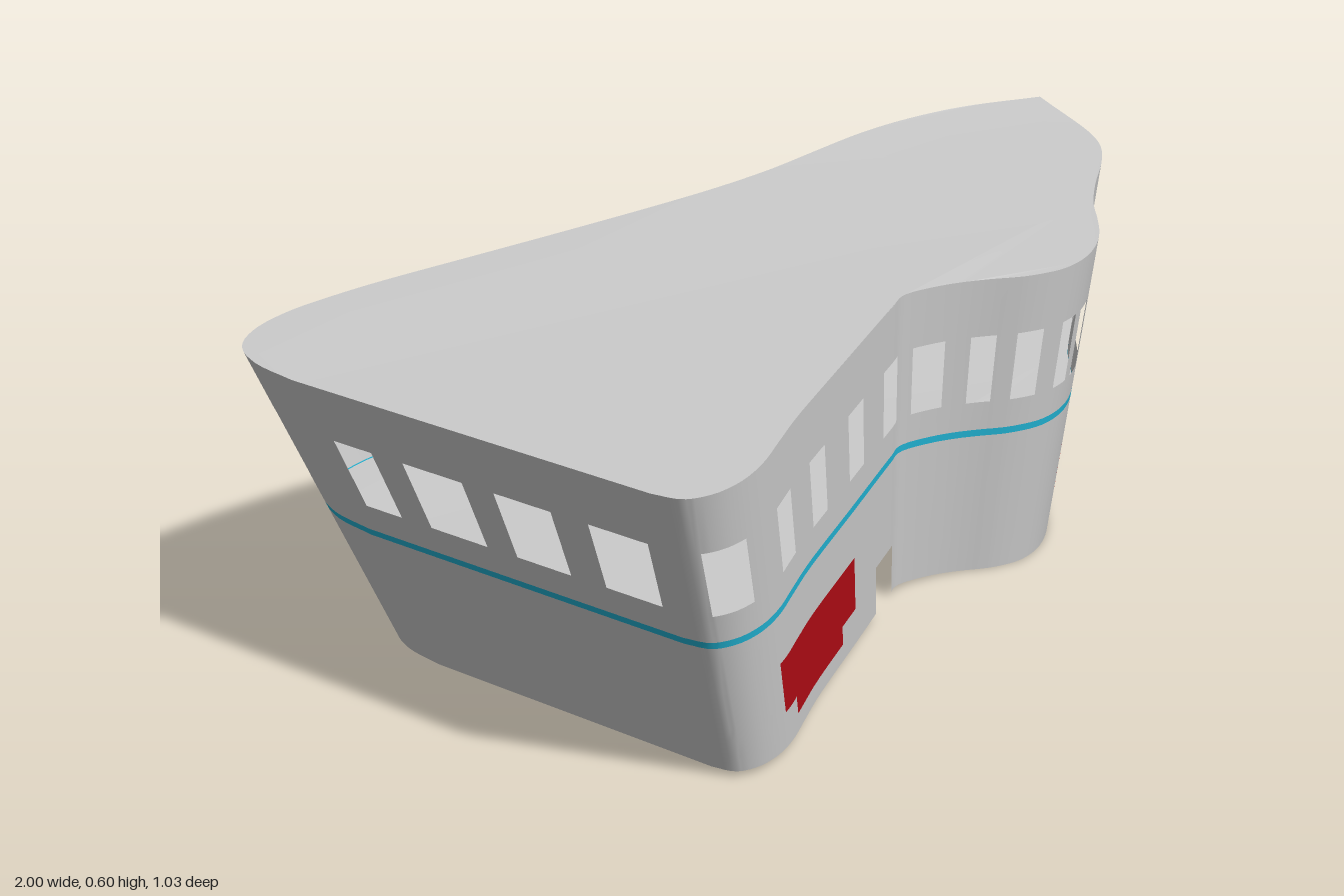
import * as THREE from 'three';
import { toCreasedNormals } from 'three/addons/utils/BufferGeometryUtils.js';

// Roof outline as [x, z], in three runs: front (to the sharp prow), back, and the straight end
const FRONT = [[-1, 0.43], [-0.988, 0.48], [-0.95, 0.505], [-0.89, 0.512], [-0.82, 0.5], [-0.74, 0.472],
  [-0.65, 0.44], [-0.4, 0.365], [-0.17, 0.295], [-0.12, 0.281], [-0.06, 0.295], [0, 0.32], [0.05, 0.35],
  [0.11, 0.395], [0.17, 0.423], [0.23, 0.427], [0.29, 0.415], [0.36, 0.385], [0.43, 0.34], [0.5, 0.29],
  [0.6, 0.235], [0.72, 0.178], [0.8, 0.128], [0.85, 0.08], [0.9, 0.015], [1, -0.135]];
const BACK = [[1, -0.135], [0.85, -0.205], [0.75, -0.243], [0.65, -0.27], [0.55, -0.285], [0.4, -0.292],
  [0.28, -0.297], [0.14, -0.315], [0, -0.343], [-0.2, -0.39], [-0.4, -0.44], [-0.6, -0.49], [-0.7, -0.508],
  [-0.79, -0.517], [-0.88, -0.505], [-0.945, -0.468], [-0.983, -0.4], [-1, -0.3]];
const END = [[-1, -0.3], [-1, 0.43]];
const Y0 = 0.012, Y1 = 0.597;

const runs = [FRONT, BACK, END].map((pts) => {
  const v = pts.map(([x, z]) => new THREE.Vector3(x, 0, z));
  return v.length === 2 ? new THREE.LineCurve3(v[0], v[1]) : new THREE.CatmullRomCurve3(v, false, 'centripetal');
});

// Perimeter parameter u in 0..3: the whole part picks the run
function outline(u) {
  const i = Math.min(2, Math.floor(u));
  return runs[i].getPoint(u - i);
}

// Find u on a run where the given axis reaches a value
function find(run, value) {
  const axis = run === 2 ? 'z' : 'x';
  const sign = run === 1 ? -1 : 1;
  let lo = 0, hi = 1;
  for (let i = 0; i < 30; i++) {
    const mid = (lo + hi) / 2;
    if (sign * (runs[run].getPoint(mid)[axis] - value) < 0) lo = mid; else hi = mid;
  }
  return run + (lo + hi) / 2;
}
const spans = (run, list) => list.map(([a, b]) => [find(run, a), find(run, b)]);

// Point on the flared wall; the prow side sits very slightly lower
function wallPoint(u, y) {
  const p = outline(u);
  const t = (y - Y0) / (Y1 - Y0);
  const drop = 0.011 * THREE.MathUtils.smoothstep(p.x + 2 * p.z, 0.3, 0.9);
  return [p.x * (0.8 + 0.2 * t) + 0.02 * (1 - t), y - drop, p.z * (0.807 + 0.193 * t) + 0.017 * (1 - t)];
}

// Flat deck filling the outline at one height
function deck(us, y) {
  const pts = us.slice(0, -1).map((u) => wallPoint(u, y));
  const faces = THREE.ShapeUtils.triangulateShape(pts.map((p) => new THREE.Vector2(p[0], -p[2])), []);
  const geo = new THREE.BufferGeometry();
  geo.setAttribute('position', new THREE.Float32BufferAttribute(pts.flat(), 3));
  geo.setIndex(faces.flat());
  geo.computeVertexNormals();
  return geo;
}

export function createModel() {
  const group = new THREE.Group();
  const material = (color) => new THREE.MeshStandardMaterial({ color, side: THREE.DoubleSide });
  const grey = material(0xcccccc);

  // Openings and panels as spans along the perimeter
  const windows = [
    ...spans(0, [[-0.98, -0.895], [-0.78, -0.706], [-0.607, -0.533], [-0.414, -0.334], [-0.219, -0.139],
      [-0.091, -0.022], [0.026, 0.068], [0.1, 0.148], [0.196, 0.244], [0.27, 0.323], [0.387, 0.467],
      [0.515, 0.568], [0.632, 0.69], [0.76, 0.807], [0.845, 0.887], [0.945, 1]]),
    ...spans(1, [[1, 0.84], [0.75, 0.585], [0.48, 0.29], [0.135, -0.045], [-0.205, -0.375], [-0.9, -0.965]]),
    ...spans(2, [[-0.27, -0.185], [-0.115, 0.015], [0.083, 0.203], [0.28, 0.4]]),
  ];
  const door = spans(0, [[-0.26, -0.15]]);
  const panels = spans(0, [[-0.837, -0.398], [0.343, 0.775]]);
  const panelTabs = spans(0, [[-0.774, -0.48], [0.394, 0.76]]);

  // Shared column positions so all bands meet without gaps
  const cuts = [...windows, ...door, ...panels, ...panelTabs].flat();
  const regular = [];
  for (let i = 0; i < 90; i++) regular.push(i / 90, 1 + i / 70 * (i < 70 ? 1 : 0), 2 + i / 90);
  const us = [...regular, ...cuts, 3].sort((a, b) => a - b)
    .filter((u, i, all) => i === 0 || u - all[i - 1] > 1e-6);

  // Horizontal wall bands: bottom, top, holes, red spans
  const bands = [
    { y: [Y0, 0.047], holes: door },
    { y: [0.047, 0.085], holes: door, red: panelTabs },
    { y: [0.085, 0.11], holes: door, red: panels },
    { y: [0.11, 0.193], red: panels },
    { y: [0.193, 0.289] },
    { y: [0.289, 0.302], stripe: true },
    { y: [0.302, 0.357] },
    { y: [0.357, 0.487], holes: windows },
    { y: [0.487, Y1] },
  ];
  const surfaces = { wall: [], panel: [], stripe: [] };
  const inside = (list, u) => (list || []).some(([a, b]) => u > a && u < b);
  for (const band of bands) {
    const [low, high] = band.y;
    for (let i = 0; i < us.length - 1; i++) {
      const mid = (us[i] + us[i + 1]) / 2;
      if (inside(band.holes, mid)) continue;
      const kind = band.stripe ? 'stripe' : inside(band.red, mid) ? 'panel' : 'wall';
      const a = wallPoint(us[i], low), b = wallPoint(us[i + 1], low);
      const c = wallPoint(us[i + 1], high), d = wallPoint(us[i], high);
      surfaces[kind].push(...a, ...b, ...c, ...a, ...c, ...d);
    }
  }

  const add = (name, geo, mat) => {
    const mesh = new THREE.Mesh(geo, mat);
    mesh.name = name;
    group.add(mesh);
  };
  const addSurface = (name, positions, mat) => {
    const geo = new THREE.BufferGeometry();
    geo.setAttribute('position', new THREE.Float32BufferAttribute(positions, 3));
    add(name, toCreasedNormals(geo, 0.6), mat);
  };
  addSurface('outerWall', surfaces.wall, grey);
  addSurface('redPanels', surfaces.panel, material(0xb00c14));
  addSurface('blueStripe', surfaces.stripe, material(0x22b4d4));

  // Upper floor and roof
  add('upperFloor', deck(us, 0.3), grey);
  add('roof', deck(us, Y1), grey);
  return group;
}
